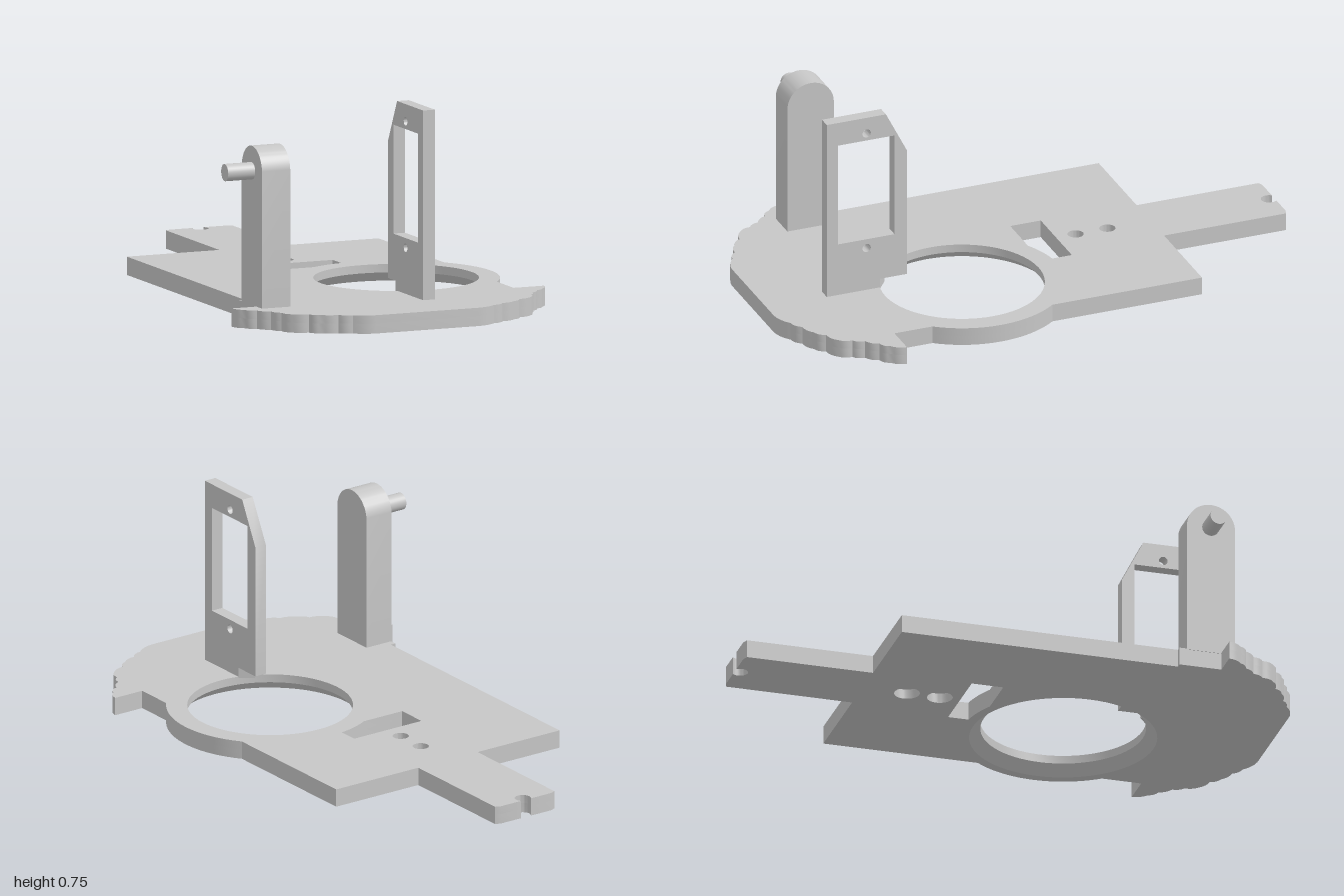
import * as THREE from 'three';
import { toCreasedNormals } from 'three/addons/utils/BufferGeometryUtils.js';

const T = 0.066;      // base plate thickness
const SPLIT = 0.036;  // height where the lower recesses end
const RING = { x: 0.2, z: 0.279 };

// points along an arc, angles in radians
function arc(cx, cy, r, a0, a1, n = 32) {
  return Array.from({ length: n + 1 }, (_, i) => {
    const a = a0 + (a1 - a0) * i / n;
    return [cx + r * Math.cos(a), cy + r * Math.sin(a)];
  });
}
const circle = (cx, cy, r, n = 32) => arc(cx, cy, r, 0, Math.PI * 2, n).slice(0, -1);

// extrudes an outline with holes; the outline is wound so that all walls face out of the solid
function extrude(outline, holes, depth, map) {
  const vec = pts => pts.map(([a, b]) => new THREE.Vector2(...map(a, b)));
  const points = vec(outline);
  if (THREE.ShapeUtils.isClockWise(points)) points.reverse();
  const shape = new THREE.Shape(points);
  for (const h of holes) {
    const hole = vec(h);
    if (!THREE.ShapeUtils.isClockWise(hole)) hole.reverse();
    shape.holes.push(new THREE.Path(hole));
  }
  return new THREE.ExtrudeGeometry(shape, { depth, bevelEnabled: false });
}

// outline in (x, z), extruded upward
function slab(outline, holes, y0, y1) {
  const g = extrude(outline, holes, y1 - y0, (x, z) => [x, -z]);
  return toCreasedNormals(g.rotateX(-Math.PI / 2).translate(0, y0, 0), 0.5);
}

// outline in (z, y), extruded along x
function panel(outline, holes, x0, x1) {
  const g = extrude(outline, holes, x1 - x0, (z, y) => [-z, y]);
  return toCreasedNormals(g.rotateY(Math.PI / 2).translate(x0, 0, 0), 0.5);
}

// scalloped front corner: small outward bumps between cusps
function scallopEdge() {
  const cusps = [[0.608, 0.655], [0.58, 0.705], [0.545, 0.735], [0.508, 0.775], [0.485, 0.815],
    [0.465, 0.86], [0.41, 0.885], [0.375, 0.918], [0.32, 0.94], [0.275, 0.967], [0.2, 1]];
  const points = [cusps[0]];
  for (let i = 1; i < cusps.length; i++) {
    const [x0, z0] = cusps[i - 1], [x1, z1] = cusps[i];
    const dx = x1 - x0, dz = z1 - z0, len = Math.hypot(dx, dz);
    for (const t of [0.25, 0.5, 0.75]) {
      const h = 0.028 * t * (1 - t) / len;
      points.push([x0 + dx * t + dz * h, z0 + dz * t - dx * h]);
    }
    points.push(cusps[i]);
  }
  return points.map(([x, z]) => [x, Math.min(z, 1)]);
}

function baseOutline() {
  const scallop = scallopEdge();
  const bulge = Math.acos(0.29 / 0.37);
  const notch = Math.asin(0.02 / 0.029);
  return [
    [-0.13, -0.992], [-0.11, -1],
    ...arc(0, -0.98, 0.029, Math.PI + notch, -notch, 20),
    [0.11, -1], [0.13, -0.992], [0.13, -0.525], [0.49, -0.525],
    ...arc(RING.x, RING.z, 0.37, -bulge, bulge, 32),
    [0.49, 0.655],
    ...scallop,
    ...scallop.map(([x, z]) => [-x, z]).reverse(),
    [-0.51, 0.655], [-0.51, 0.5], [-0.49, 0.5], [-0.49, -0.525], [-0.13, -0.525],
  ];
}

// clearance slot whose front corner follows the ring opening
function slotOutline() {
  const follow = arc(RING.x, RING.z, 0.37, Math.atan2(-0.367, -0.05), Math.atan2(-0.325, -0.177), 12);
  return [[-0.145, -0.163], [0.15, -0.163], ...follow, [-0.145, -0.046]];
}

export function createModel() {
  const model = new THREE.Group();
  // everything is laid out around the plate's axis, which sits slightly off centre
  const assembly = new THREE.Group();
  assembly.name = 'assembly';
  assembly.position.x = 0.004;
  model.add(assembly);

  const grey = new THREE.MeshStandardMaterial({ color: 0xc6c6c6 });
  grey.name = 'grey';
  const add = (name, geometry, parent = assembly) => {
    const mesh = new THREE.Mesh(geometry, grey);
    mesh.name = name;
    parent.add(mesh);
    return mesh;
  };

  // base plate: two layers, the lower one with wider openings
  const base = new THREE.Group();
  base.name = 'basePlate';
  assembly.add(base);
  const layerHoles = (ringR, screwR) => [
    circle(RING.x, RING.z, ringR, 72),
    circle(0, -0.36, screwR), circle(0, -0.238, screwR),
    slotOutline(),
  ];
  add('upperLayer', slab(baseOutline(), layerHoles(0.295, 0.029), SPLIT, T), base);
  add('lowerLayer', slab(baseOutline(), layerHoles(0.335, 0.046), 0, SPLIT), base);

  // sloped seat under the ring opening, facing inward
  const seat = new THREE.LatheGeometry(
    [new THREE.Vector2(0.295, SPLIT), new THREE.Vector2(0.335, 0)], 72);
  add('ringSeat', seat, base).position.set(RING.x, 0, RING.z);

  // upright frame with window and two screw holes
  const frame = [[0.77, 0.1], [0.77, 0.75], [0.543, 0.75], [0.463, 0.593], [0.463, 0.1]];
  const frameWindow = [[0.727, 0.267], [0.727, 0.66], [0.51, 0.66], [0.51, 0.267]];
  add('uprightFrame', panel(frame,
    [frameWindow, circle(0.617, 0.688, 0.016, 20), circle(0.617, 0.232, 0.016, 20)], 0.086, 0.132));
  add('frameFoot', slab(
    [[0.086, 0.77], [0.132, 0.77], [0.132, 0.565], [0.086, 0.53]], [], T - 0.004, 0.1));

  // round-topped post with a side pin
  const post = [[0.527, T - 0.004], ...arc(0.616, 0.551, 0.089, Math.PI, 0, 32), [0.705, T - 0.004]];
  add('post', panel(post, [], -0.512, -0.402));
  const pin = new THREE.CylinderGeometry(0.031, 0.031, 0.115, 32).rotateZ(Math.PI / 2);
  add('postPin', pin).position.set(-0.5595, 0.55, 0.614);

  return model;
}
